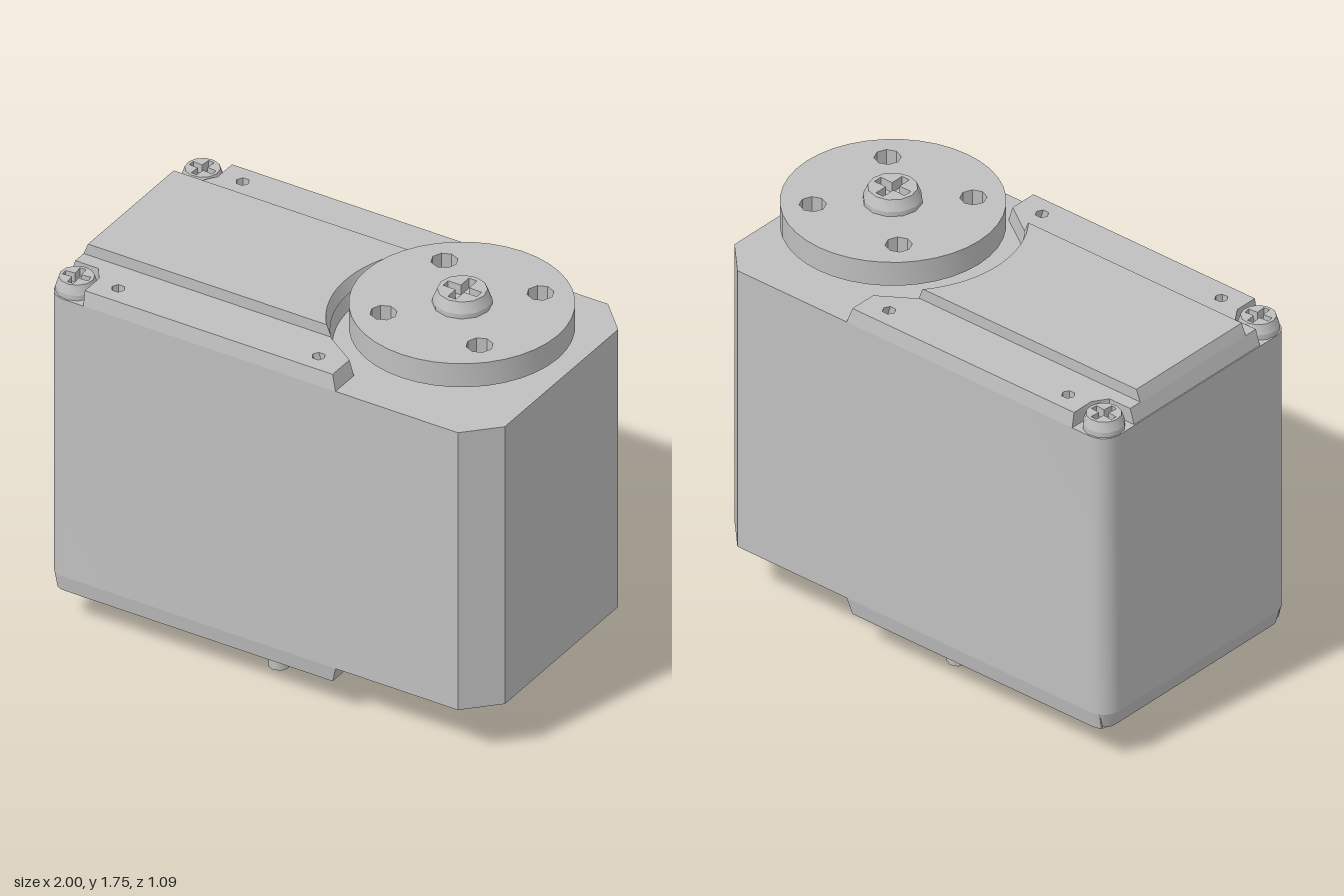
import * as THREE from 'three';
import { toCreasedNormals } from 'three/addons/utils/BufferGeometryUtils.js';

const grey = new THREE.MeshStandardMaterial({ color: 0xbfbfbf });
grey.name = 'grey plastic';

const AXIS_X = 0.55; // output shaft position

// points on an arc in the (x, z) plane
function arc(cx, cz, r, a0, a1, n) {
  return Array.from({ length: n + 1 }, (_, i) => {
    const a = a0 + ((a1 - a0) * i) / n;
    return [cx + r * Math.cos(a), cz + r * Math.sin(a)];
  });
}
const ring = (cx, cz, r, n) => arc(cx, cz, r, 0, Math.PI * 2, n).slice(0, n);
const vecs = (pts) => pts.map(([x, z]) => new THREE.Vector2(x, z));
// mirrors a half outline (z >= 0) to a closed outline
const mirrored = (half) => [...half, ...half.filter((p) => p[1] > 0.001).reverse().map(([x, z]) => [x, -z])];

// extrudes an (x, z) outline between two heights; "move" may reshape vertices
function slab(name, outline, holes, y0, y1, move) {
  const shape = new THREE.Shape(vecs(outline));
  holes.forEach((h) => shape.holes.push(new THREE.Path(vecs(h))));
  const geo = new THREE.ExtrudeGeometry(shape, { depth: y1 - y0, bevelEnabled: false });
  geo.rotateX(Math.PI / 2).translate(0, y1, 0);
  if (move) {
    const p = geo.attributes.position, v = new THREE.Vector3();
    for (let i = 0; i < p.count; i++) {
      move(v.fromBufferAttribute(p, i));
      p.setXYZ(i, v.x, v.y, v.z);
    }
  }
  const mesh = new THREE.Mesh(toCreasedNormals(geo, 0.6), grey);
  mesh.name = name;
  return mesh;
}

function cylinder(name, r, y0, y1, x, z, sides) {
  const mesh = new THREE.Mesh(new THREE.CylinderGeometry(r, r, y1 - y0, sides), grey);
  mesh.position.set(x, (y0 + y1) / 2, z);
  mesh.name = name;
  return mesh;
}

// tapers the outer faces of a cover at height yEdge
const taper = (yEdge) => (v) => {
  if (Math.abs(v.y - yEdge) > 0.001) return;
  if (v.x > 0) v.x -= 0.02;
  if (v.x < -0.96) v.x += 0.02;
  if (Math.abs(v.z) > 0.5) v.z *= 0.98;
};

// crosshead screw with a tapered rim and a recessed cross
function screw(name, x, z, r, y0, y1, turn) {
  const a = 0.66 * r, w = 0.16 * r;
  const cross = [[a, w], [w, w], [w, a], [-w, a], [-w, w], [-a, w],
    [-a, -w], [-w, -w], [-w, -a], [w, -a], [w, -w], [a, -w]];
  const group = new THREE.Group();
  group.name = name;
  const mid = y0 + (y1 - y0) * 0.4;
  group.add(
    cylinder('screwBase', r, y0, mid, 0, 0, 12),
    slab('screwHead', ring(0, 0, r, 12), [cross], mid, y1, (v) => {
      if (v.y > y1 - 0.001 && Math.hypot(v.x, v.z) > 0.9 * r) { v.x *= 0.84; v.z *= 0.84; }
    })
  );
  group.position.set(x, 0, z);
  group.rotation.y = turn;
  return group;
}

export function createModel() {
  const model = new THREE.Group();
  model.name = 'servoMotor';
  const H = 0.543;

  // main case: chamfered at the shaft end, rounded at the other
  const roundCorner = arc(-0.92, H - 0.08, 0.08, Math.PI / 2, Math.PI, 6);
  model.add(slab('case', mirrored([[1, 0.41], [0.87, H], ...roundCorner]), [], 0.225, 1.49));

  // curved cut-out of the covers around the shaft
  const cutAngle = Math.PI - 0.645;
  const cut = arc(AXIS_X, 0, 0.5, Math.PI, cutAngle, 10);
  const wing = [...cut, [0.315, 0.41], [0.315, H]];

  const fixings = [];
  for (const s of [1, -1]) fixings.push(ring(-0.73, s * 0.45, 0.027, 6), ring(0.2, s * 0.45, 0.027, 6));

  // top cover with corner notches, then the raised centre plate
  const topHalf = [...wing, [-0.83, H], [-0.83, 0.43], [-0.87, 0.37], [-0.995, 0.37]];
  model.add(slab('topCover', mirrored(topHalf), fixings, 1.49, 1.555, taper(1.555)));
  const plateHalf = [...cut.map(([x, z]) => [x - 0.01, z]), [0.15, 0.31], [-0.975, 0.31]];
  model.add(slab('raisedPlate', mirrored(plateHalf), [], 1.555, 1.605, taper(1.605)));

  // bottom cover with screw holes
  const bottomHoles = [];
  for (const s of [1, -1]) bottomHoles.push(ring(-0.91, s * 0.455, 0.03, 8), ring(0.2, s * 0.45, 0.027, 6));
  model.add(slab('bottomCover', mirrored([...wing, ...roundCorner]), bottomHoles, 0.155, 0.225, taper(0.155)));

  // wedge-ended block beneath the bottom cover
  const profile = new THREE.Shape(vecs([[-0.77, 0.16], [-0.77, 0.08], [-0.33, 0.08], [-0.19, 0.155], [-0.19, 0.16]]));
  const blockGeo = new THREE.ExtrudeGeometry(profile, { depth: 0.81, bevelEnabled: false });
  const block = new THREE.Mesh(blockGeo.translate(0, 0, -0.405), grey);
  block.name = 'bottomBlock';
  model.add(block);

  // connector pins and corner screws
  for (const s of [1, -1]) {
    for (const z of [0.122, 0.23, 0.337]) model.add(cylinder('pin', 0.042, 0, 0.16, -0.07, s * z, 8));
    model.add(screw('cornerScrew', -0.915, s * 0.455, 0.083, 1.485, 1.553, s * 0.1));
  }

  // hollow boss under the shaft
  model.add(slab('bottomBoss', ring(AXIS_X, 0, 0.13, 24), [ring(AXIS_X, 0, 0.045, 12)], 0.055, 0.23));

  // shaft, hub, horn disc and centre screw
  model.add(cylinder('shaft', 0.1, 1.485, 1.51, AXIS_X, 0, 16));
  model.add(cylinder('hub', 0.195, 1.505, 1.575, AXIS_X, 0, 32));
  const hornHoles = [];
  for (const sx of [1, -1]) for (const sz of [1, -1]) hornHoles.push(ring(AXIS_X - 0.002 + sx * 0.218, sz * 0.22, 0.053, 8));
  model.add(slab('hornDisc', ring(AXIS_X - 0.002, 0, 0.436, 40), hornHoles, 1.573, 1.68));
  model.add(screw('centreScrew', AXIS_X, 0, 0.116, 1.67, 1.745, 0));

  return model;
}
